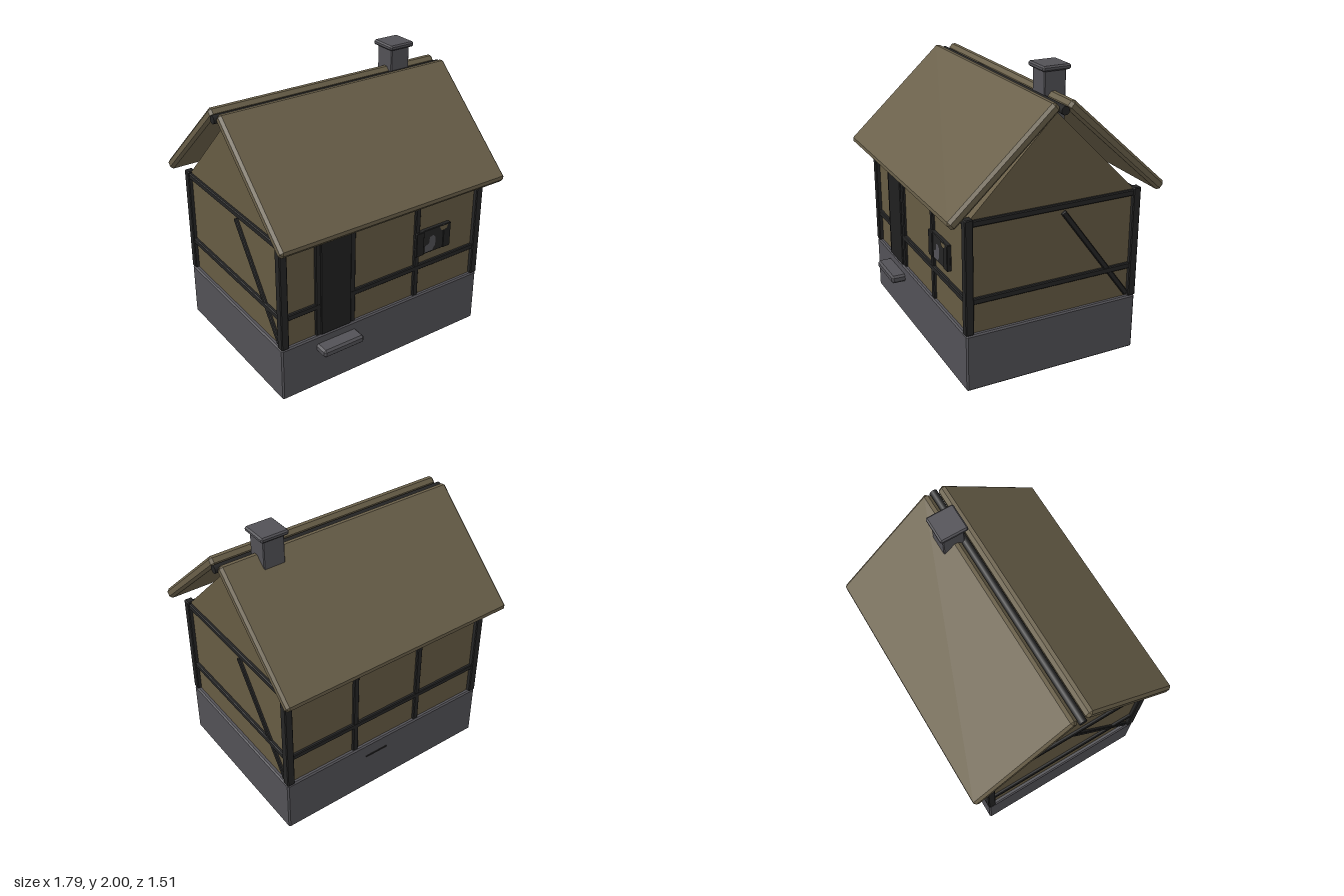
import * as THREE from 'three';
import { ConvexGeometry } from 'three/addons/geometries/ConvexGeometry.js';

const mat = (name, color) => new THREE.MeshStandardMaterial({ name, color });

// Box with every edge chamfered by c
function chamferBox(w, h, d, c) {
  const pts = [];
  const [x, y, z] = [w / 2, h / 2, d / 2];
  for (const i of [-1, 1]) for (const j of [-1, 1]) for (const k of [-1, 1]) {
    pts.push(
      new THREE.Vector3(i * x, j * (y - c), k * (z - c)),
      new THREE.Vector3(i * (x - c), j * y, k * (z - c)),
      new THREE.Vector3(i * (x - c), j * (y - c), k * z));
  }
  return new ConvexGeometry(pts);
}

export function createModel() {
  const house = new THREE.Group();
  house.name = 'cottage';
  const stone = mat('stone', 0x525156);
  const plaster = mat('plaster', 0x665b43);
  const thatch = mat('thatch', 0x695f49);
  const timber = mat('timber', 0x242424);
  const doorWood = mat('door wood', 0x202020);

  const add = (name, geometry, material, parent = house) => {
    const mesh = new THREE.Mesh(geometry, material);
    mesh.name = name;
    parent.add(mesh);
    return mesh;
  };
  // Chamfered block given by its minimum and maximum on each axis
  const block = (name, material, [x0, x1], [y0, y1], [z0, z1], c = 0.006) => {
    const mesh = add(name, chamferBox(x1 - x0, y1 - y0, z1 - z0, c), material);
    mesh.position.set((x0 + x1) / 2, (y0 + y1) / 2, (z0 + z1) / 2);
    return mesh;
  };

  // Stone base with doorstep and a narrow slot at the back
  block('foundation', stone, [-0.825, 0.825], [0, 0.4], [-0.622, 0.622], 0.01);
  block('doorstep', stone, [-0.56, -0.245], [0.285, 0.342], [0.6, 0.72], 0.014);
  block('backSlot', timber, [0, 0.18], [0.288, 0.302], [-0.627, -0.61], 0.002);

  // Plastered walls and gable prism
  block('walls', plaster, [-0.797, 0.797], [0.39, 1.17], [-0.595, 0.595], 0.001);
  const gable = new THREE.Shape([
    new THREE.Vector2(-0.59, 1.16), new THREE.Vector2(0.59, 1.16), new THREE.Vector2(0, 1.755)]);
  const gableGeo = new THREE.ExtrudeGeometry(gable, { depth: 1.594, bevelEnabled: false });
  gableGeo.translate(0, 0, -0.797).rotateY(Math.PI / 2);
  add('gables', gableGeo, plaster);

  // Corner posts
  for (const x of [-0.797, 0.797]) for (const z of [-0.597, 0.597]) {
    block('cornerPost', timber, [x - 0.028, x + 0.028], [0.4, 1.18], [z - 0.028, z + 0.028]);
  }
  // Horizontal beams on all four walls
  for (const [y0, y1] of [[1.125, 1.167], [0.605, 0.647]]) {
    for (const s of [-1, 1]) {
      block('longBeam', timber, [-0.79, 0.79], [y0, y1], [s * 0.595 - 0.02, s * 0.595 + 0.02]);
      block('endBeam', timber, [s * 0.797 - 0.02, s * 0.797 + 0.02], [y0, y1], [-0.59, 0.59]);
    }
  }
  // Studs in the front and back walls
  const stud = (x, z) =>
    block('stud', timber, [x - 0.021, x + 0.021], [0.4, 1.14], [z - 0.019, z + 0.019]);
  for (const x of [-0.535, -0.268, 0.265]) stud(x, 0.595);
  for (const x of [-0.265, 0.265]) stud(x, -0.595);

  // Diagonal braces, one on each end wall
  for (const s of [-1, 1]) {
    const brace = add('brace', chamferBox(0.035, 0.85, 0.036, 0.005), timber);
    brace.position.set(s * 0.797, 0.76, -s * 0.31);
    brace.rotation.x = s * Math.atan2(0.5, 0.68);
  }

  // Door
  block('door', doorWood, [-0.522, -0.285], [0.4, 1.145], [0.58, 0.622]);

  // Window: dark frame, side shutters, and worn patches in the pane
  block('windowFrame', timber, [0.25, 0.545], [0.722, 0.905], [0.58, 0.622], 0.004);
  block('shutter', doorWood, [0.246, 0.312], [0.722, 0.905], [0.6, 0.629], 0.004);
  block('shutter', doorWood, [0.482, 0.547], [0.722, 0.905], [0.6, 0.626], 0.004);
  const patch = (name, material, pts, z) => {
    const shape = new THREE.Shape(pts.map(([x, y]) => new THREE.Vector2(x, y)));
    add(name, new THREE.ShapeGeometry(shape), material).position.z = z;
  };
  patch('windowPane', stone, [[0.325, 0.735], [0.39, 0.735], [0.415, 0.77], [0.415, 0.83],
    [0.395, 0.85], [0.365, 0.845], [0.36, 0.8], [0.325, 0.78]], 0.6235);
  patch('windowPatch', plaster, [[0.445, 0.9], [0.46, 0.87], [0.48, 0.865], [0.51, 0.875],
    [0.52, 0.9]], 0.6275);

  // Two thatched roof slabs, mirrored about the ridge
  for (const s of [-1, 1]) {
    const slab = add('roofSlab', chamferBox(1.775, 0.07, 0.955, 0.018), thatch);
    slab.position.set(0, 1.502, s * 0.392);
    slab.rotation.x = s * Math.atan2(0.65, 0.71);
  }
  // Ridge pole
  const ridge = add('ridgePole', new THREE.CylinderGeometry(0.028, 0.028, 1.79, 10), timber);
  ridge.rotation.z = Math.PI / 2;
  ridge.position.y = 1.79;

  // Chimney
  block('chimneyStack', stone, [0.48, 0.632], [1.4, 1.975], [-0.154, -0.002], 0.006);
  block('chimneyCap', stone, [0.457, 0.655], [1.965, 2], [-0.176, 0.02], 0.01);

  return house;
}
